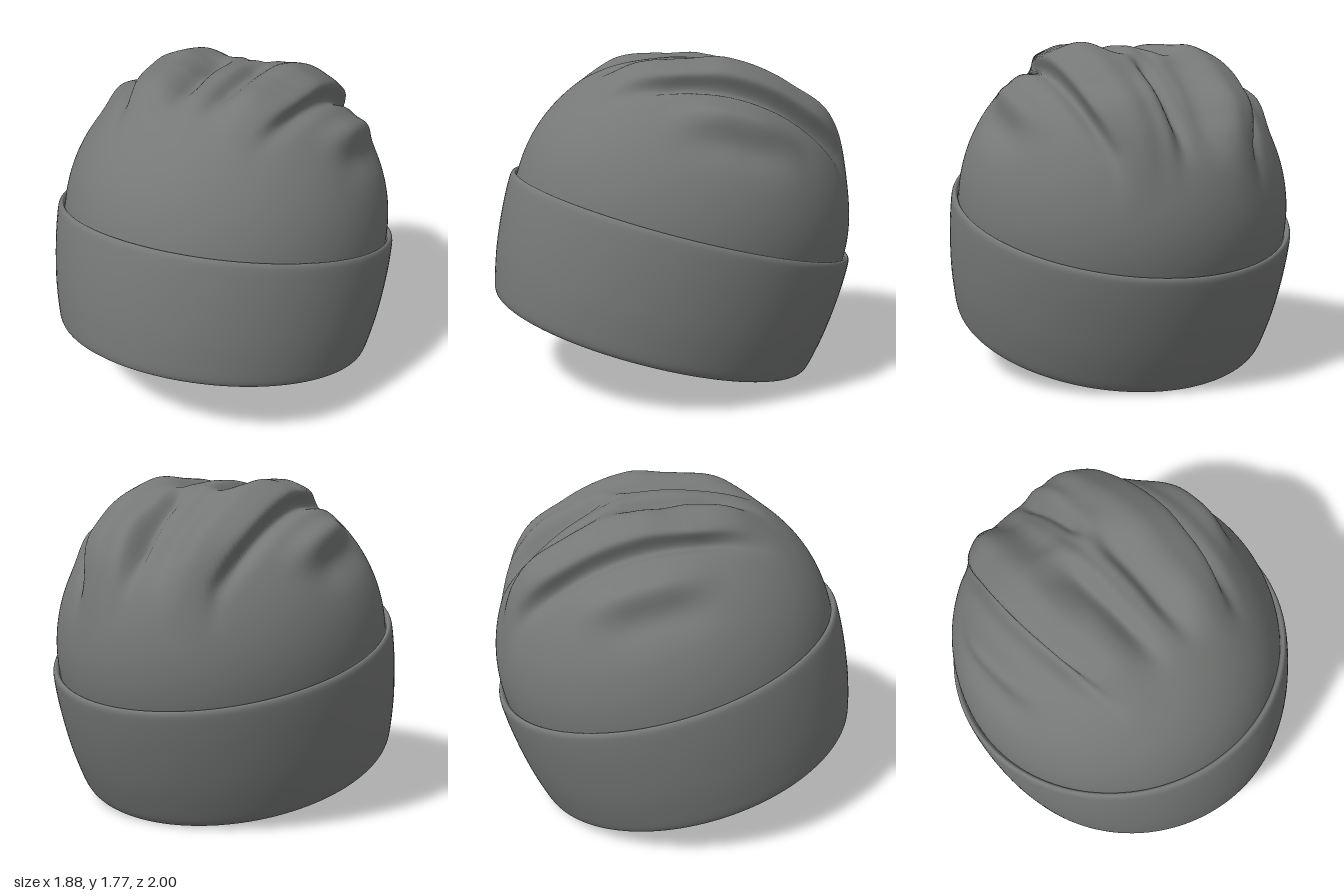
import * as THREE from 'three';

const knit = new THREE.MeshStandardMaterial({ color: 0x757876, side: THREE.DoubleSide });
knit.name = 'grey knit';

const bump = (d, w) => Math.exp(-((d / w) ** 2));
const span = (z, back, front, fade) =>
  THREE.MathUtils.smoothstep(z, back, back + fade) * (1 - THREE.MathUtils.smoothstep(z, front - fade, front));

// Folds running front to back: x, width, height, back end, front end, fade
const paired = [
  [0.32, 0.11, 0.055, -0.85, 0.78, 0.4],   // main ridge
  [0.3, 0.14, 0.03, -0.85, -0.3, 0.25],    // raised back of the ridge
  [0.3, 0.15, -0.03, 0.05, 0.55, 0.22],    // dip along the ridge
  [0.495, 0.045, -0.05, -0.8, 0.72, 0.4],  // groove under the overhang
  [0.67, 0.05, 0.05, -0.42, 0.42, 0.35],   // outer ridge
  [0.76, 0.05, -0.025, -0.35, 0.4, 0.3],   // groove below it
  [0.12, 0.07, -0.075, -0.15, 0.72, 0.3],  // front grooves beside the middle
];
const single = [
  [0, 0.05, -0.025, -0.8, 0.72, 0.4],
  [-0.12, 0.12, -0.045, -0.8, 0.0, 0.25],
  [0.07, 0.045, -0.065, -0.8, 0.0, 0.25],
  [0.16, 0.05, 0.025, -0.85, -0.25, 0.22],
  [-0.2, 0.1, -0.035, -0.15, 0.35, 0.22],
];
const folds = [...paired, ...paired.map(([x, ...rest]) => [-x, ...rest]), ...single];

// Ellipsoid crown, pushed along its normal by the folds
function crownGeometry() {
  const rings = 110, sides = 200, rx = 0.9, ry = 0.9, rz = 0.945, baseY = 0.66;
  const positions = [], index = [];
  const p = new THREE.Vector3(), n = new THREE.Vector3();
  for (let i = 0; i <= rings; i++) {
    const phi = (i / rings) * 1.69;
    for (let j = 0; j < sides; j++) {
      const t = (j / sides) * Math.PI * 2;
      p.set(rx * Math.sin(phi) * Math.sin(t), ry * Math.cos(phi), rz * Math.sin(phi) * Math.cos(t));
      n.set(p.x / rx ** 2, p.y / ry ** 2, p.z / rz ** 2).normalize();
      const z = p.z;
      // Fold lines bow outward in the middle
      const u = p.x / (1 - 0.2 * Math.min(1, (z / 0.65) ** 2));
      const top = THREE.MathUtils.smoothstep(p.y, 0.1, 0.4);
      let h = 0;
      for (const [x, w, height, back, front, fade] of folds) {
        h += height * bump(u - x, w) * span(z, back, front, fade);
      }
      // Slight overhang at the outer edge of the main folds
      const lip = Math.sign(u) * 0.055 * bump(Math.abs(u) - 0.41, 0.048) * span(z, -0.8, 0.7, 0.4);
      p.addScaledVector(n, h * top);
      positions.push(p.x + lip * top, p.y + baseY, p.z);
      if (i < rings) {
        const a = i * sides + j, b = i * sides + ((j + 1) % sides);
        index.push(a, a + sides, b + sides);
        if (i > 0) index.push(a, b + sides, b);
      }
    }
  }
  const g = new THREE.BufferGeometry();
  g.setAttribute('position', new THREE.Float32BufferAttribute(positions, 3));
  g.setIndex(index);
  g.computeVertexNormals();
  // One shared normal at the pole
  for (let j = 0; j < sides; j++) g.attributes.normal.setXYZ(j, 0, 1, 0);
  return g;
}

// Turned-up cuff: inner wall, rounded lower lip, bulging outer wall, rounded upper rim
function cuffGeometry() {
  const wall = new THREE.SplineCurve([
    [0.925, 0.62], [0.915, 0.4], [0.885, 0.18], [0.85, 0.05], [0.846, 0.01], [0.862, -0.014],
    [0.89, -0.016], [0.915, 0.01], [0.935, 0.09], [0.958, 0.22], [0.973, 0.36], [0.981, 0.5],
    [0.981, 0.62], [0.975, 0.657], [0.962, 0.668], [0.947, 0.655], [0.935, 0.62],
  ].map(([x, y]) => new THREE.Vector2(x, y)));
  return new THREE.LatheGeometry(wall.getPoints(70), 128);
}

export function createModel() {
  const model = new THREE.Group();
  model.name = 'beanie';

  // The hat leans back, front edge raised
  const hat = new THREE.Group();
  hat.name = 'tiltedHat';
  hat.position.set(0, 0.243, 0.12);
  hat.rotation.x = -0.262;
  model.add(hat);

  const crown = new THREE.Mesh(crownGeometry(), knit);
  crown.name = 'crown';

  const cuff = new THREE.Mesh(cuffGeometry(), knit);
  cuff.name = 'cuff';
  cuff.scale.x = 0.956;

  hat.add(crown, cuff);
  return model;
}
